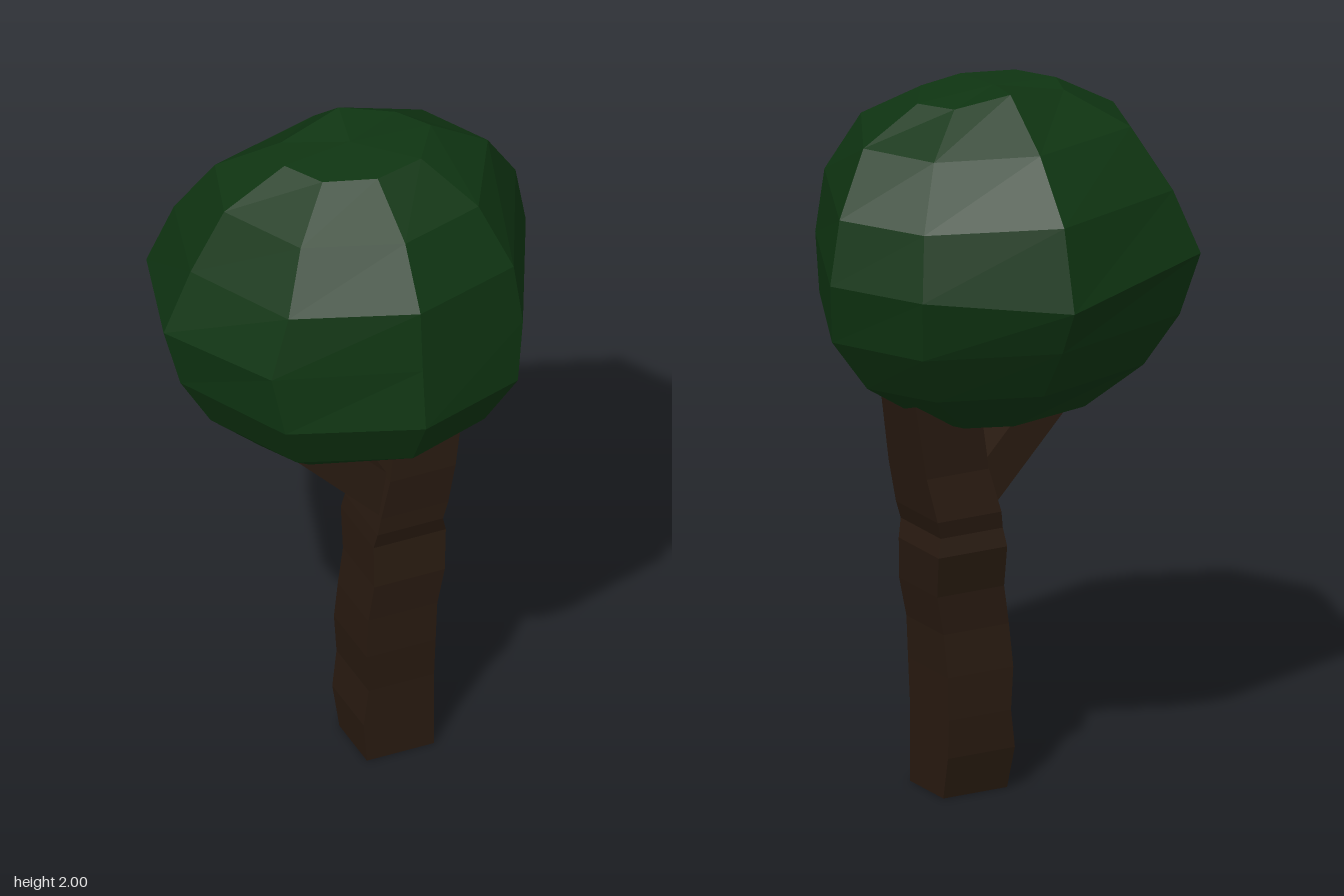
import * as THREE from 'three';

// Joins closed rings (listed bottom to top, counter-clockwise from above) and caps both ends.
function loft(name, rings, bottom, top, material) {
  const n = rings[0].length;
  const points = [...rings.flat(), bottom, top];
  const index = [];
  const low = points.length - 2, high = low + 1, last = (rings.length - 1) * n;
  for (let j = 0; j < n; j++) {
    const k = (j + 1) % n;
    for (let i = 0; i < last; i += n) {
      index.push(i + j, i + k, i + n + k, i + j, i + n + k, i + n + j);
    }
    index.push(low, k, j, high, last + j, last + k);
  }
  const geometry = new THREE.BufferGeometry();
  geometry.setAttribute('position', new THREE.Float32BufferAttribute(points.flat(), 3));
  geometry.setIndex(index);
  geometry.computeVertexNormals();
  const mesh = new THREE.Mesh(geometry, material);
  mesh.name = name;
  return mesh;
}

// Four-sided post from sections [y, x min, x max, z back, z front].
function post(name, sections, material) {
  const rings = sections.map(([y, x0, x1, z0, z1]) =>
    [[x1, y, z1], [x1, y, z0], [x0, y, z0], [x0, y, z1]]);
  const middle = ([y, x0, x1, z0, z1]) => [(x0 + x1) / 2, y, (z0 + z1) / 2];
  return loft(name, rings, middle(sections[0]), middle(sections.at(-1)), material);
}

export function createModel() {
  const tree = new THREE.Group();
  tree.name = 'tree';
  const bark = new THREE.MeshStandardMaterial({ color: 0x281a10, flatShading: true });
  const leaves = new THREE.MeshStandardMaterial({ color: 0x0f3512, flatShading: true });

  // Crooked trunk leaning towards +x
  tree.add(post('trunk', [
    [0, 0, 0.2, -0.07, 0.11],
    [0.12, -0.01, 0.2, -0.095, 0.11],
    [0.23, 0.005, 0.2, -0.1, 0.11],
    [0.35, -0.005, 0.2, -0.095, 0.12],
    [0.47, 0, 0.205, -0.08, 0.12],
    [0.58, 0.015, 0.225, -0.08, 0.125],
    [0.7, 0.02, 0.235, -0.105, 0.11],
    [0.75, 0.025, 0.22, -0.09, 0.125],
    [0.8, 0.035, 0.235, -0.1, 0.125],
    [0.92, 0.06, 0.255, -0.075, 0.13],
    [1.2, 0.1, 0.3, -0.075, 0.11],
  ], bark));

  // Side branch rising towards -x
  tree.add(post('branch', [
    [0.79, 0.05, 0.205, -0.06, 0.11],
    [1.12, -0.28, -0.125, -0.04, 0.09],
  ], bark));

  // Faceted crown: [y, reach to -x, +x, back, front, z shift of the +x corner]
  const rings = [
    [1.06, 0.27, 0.21, 0.16, 0.2, 0],
    [1.19, 0.42, 0.41, 0.32, 0.4, -0.02],
    [1.34, 0.51, 0.52, 0.42, 0.485, -0.02],
    [1.52, 0.56, 0.555, 0.485, 0.465, -0.07],
    [1.7, 0.48, 0.52, 0.43, 0.45, -0.06],
    [1.87, 0.38, 0.41, 0.3, 0.35, 0],
    [1.97, 0.2, 0.24, 0.14, 0.17, 0],
  ].map(([y, l, r, b, f, shift]) => [
    [r, y, shift],
    [r * 0.75, y, -b * 0.68],
    [0.03, y + (y > 1.95 ? 0.03 : y === 1.52 ? -0.05 : 0), -b],
    [-l * 0.82, y, -b * 0.67],
    [-l, y, 0.01],
    [-l * 0.69, y, f * 0.72],
    [0.005, y, f],
    [r * 0.63, y, f * 0.78],
  ]);
  tree.add(loft('crown', rings, [0.01, 1.02, 0], [0, 1.985, 0], leaves));
  return tree;
}
